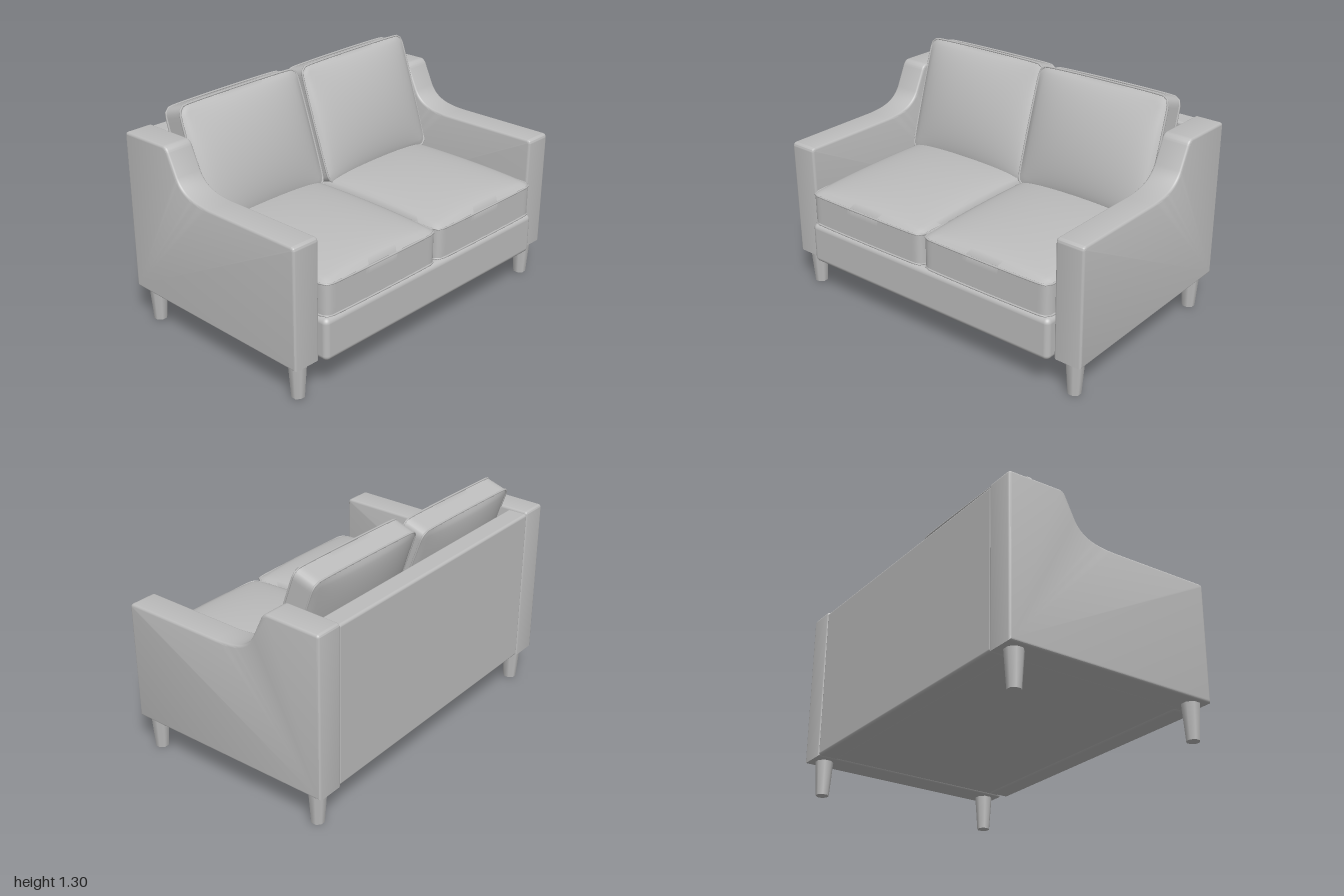
import * as THREE from 'three';
import { toCreasedNormals, mergeVertices } from 'three/addons/utils/BufferGeometryUtils.js';
import { RoundedBoxGeometry } from 'three/addons/geometries/RoundedBoxGeometry.js';

const fabric = new THREE.MeshStandardMaterial({ color: 0xbcbcbc });
fabric.name = 'grey fabric';

function add(parent, name, geometry, x = 0, y = 0, z = 0) {
  const mesh = new THREE.Mesh(geometry, fabric);
  mesh.name = name;
  mesh.position.set(x, y, z);
  parent.add(mesh);
  return mesh;
}

// Rounded-rectangle outline used by the cushion welts
function outline(w, h, r, z) {
  const pts = [];
  [[1, 1], [-1, 1], [-1, -1], [1, -1]].forEach(([sx, sy], q) => {
    for (let i = 0; i <= 4; i++) {
      const a = (q + i / 4) * Math.PI / 2;
      pts.push(new THREE.Vector3(
        sx * (w / 2 - r) + r * Math.cos(a), sy * (h / 2 - r) + r * Math.sin(a), z));
    }
  });
  return new THREE.CatmullRomCurve3(pts, true, 'centripetal');
}

// Plump cushion lying in XY: domed front and back faces, straight sides, piped seams
function cushion(name, w, h, t, front, back, power) {
  const group = new THREE.Group();
  group.name = name;
  const r = 0.045;
  const geo = new THREE.BoxGeometry(w, h, t, 36, 36, 4);
  const p = geo.attributes.position;
  for (let i = 0; i < p.count; i++) {
    let x = p.getX(i), y = p.getY(i), z = p.getZ(i);
    const u = 2 * x / w, v = 2 * y / h;
    const dome = Math.pow(Math.max(0, (1 - u * u) * (1 - v * v)), power);
    if (z > t / 2 - 1e-4) z += front * dome;
    if (z < -t / 2 + 1e-4) z -= back * dome;
    // round the four corners
    const cx = THREE.MathUtils.clamp(x, -w / 2 + r, w / 2 - r);
    const cy = THREE.MathUtils.clamp(y, -h / 2 + r, h / 2 - r);
    const dx = x - cx, dy = y - cy, d = Math.hypot(dx, dy);
    if (d > 0) {
      const k = Math.max(Math.abs(dx), Math.abs(dy)) / d;
      x = cx + dx * k;
      y = cy + dy * k;
    }
    p.setXYZ(i, x, y, z);
  }
  geo.deleteAttribute('normal');
  geo.deleteAttribute('uv');
  add(group, 'cushionBody', toCreasedNormals(mergeVertices(geo), 0.75));
  for (const z of [t / 2, -t / 2]) {
    add(group, 'welt', new THREE.TubeGeometry(outline(w, h, r, z), 96, 0.006, 6, true));
  }
  return group;
}

// Arm side profile (x = depth, y = height) with a swept rise to the back
function armGeometry() {
  const s = new THREE.Shape();
  s.moveTo(-0.655, 0.2);
  s.lineTo(0.605, 0.2);
  s.lineTo(0.61, 0.855);
  s.quadraticCurveTo(0.61, 0.88, 0.585, 0.88);
  s.lineTo(0, 0.872);
  s.bezierCurveTo(-0.12, 0.875, -0.2, 0.89, -0.245, 0.97);
  s.lineTo(-0.3, 1.085);
  s.quadraticCurveTo(-0.315, 1.12, -0.345, 1.12);
  s.lineTo(-0.635, 1.113);
  s.quadraticCurveTo(-0.655, 1.113, -0.655, 1.093);
  s.closePath();
  const width = 0.165, bevel = 0.014;
  const geo = new THREE.ExtrudeGeometry(s, {
    depth: width - 2 * bevel, bevelEnabled: true, bevelThickness: bevel,
    bevelSize: bevel, bevelOffset: -bevel, bevelSegments: 3, curveSegments: 14,
  });
  geo.translate(0, 0, -width / 2 + bevel);
  geo.rotateY(-Math.PI / 2);
  return toCreasedNormals(geo, 0.6);
}

export function createModel() {
  const sofa = new THREE.Group();
  sofa.name = 'sofa';

  // Frame
  add(sofa, 'seatBase', new THREE.BoxGeometry(1.68, 0.235, 1.2), 0, 0.3245, -0.02);
  add(sofa, 'frontRail', new RoundedBoxGeometry(1.67, 0.24, 0.15, 4, 0.03), 0, 0.32, 0.58);
  add(sofa, 'backPanel', new RoundedBoxGeometry(1.69, 0.9, 0.12, 4, 0.015), 0, 0.652, -0.592);

  const arm = armGeometry();
  const leg = new THREE.CylinderGeometry(0.052, 0.037, 0.21, 8);
  leg.rotateY(Math.PI / 8);

  for (const side of [-1, 1]) {
    const label = side > 0 ? 'left' : 'right';
    add(sofa, label + 'Arm', arm, side * 0.9175, 0, 0);
    add(sofa, label + 'FrontLeg', leg, side * 0.92, 0.105, 0.537);
    add(sofa, label + 'BackLeg', leg, side * 0.92, 0.105, -0.573);

    // Seat cushion, laid flat
    const seat = cushion(label + 'SeatCushion', 0.82, 1.02, 0.175, 0.08, 0, 0.42);
    seat.rotation.x = -Math.PI / 2;
    seat.position.set(side * 0.415, 0.537, 0.138);
    sofa.add(seat);

    // Back cushion, leaning; the right one sits a little lower and further back
    const back = cushion(label + 'BackCushion', 0.83, 0.68, 0.125, 0.085, 0.055, 0.6);
    back.rotation.set(-0.32, 0, 0.012);
    back.position.set(side * 0.418, side > 0 ? 0.95 : 0.932, side > 0 ? -0.324 : -0.358);
    sofa.add(back);
  }
  return sofa;
}
